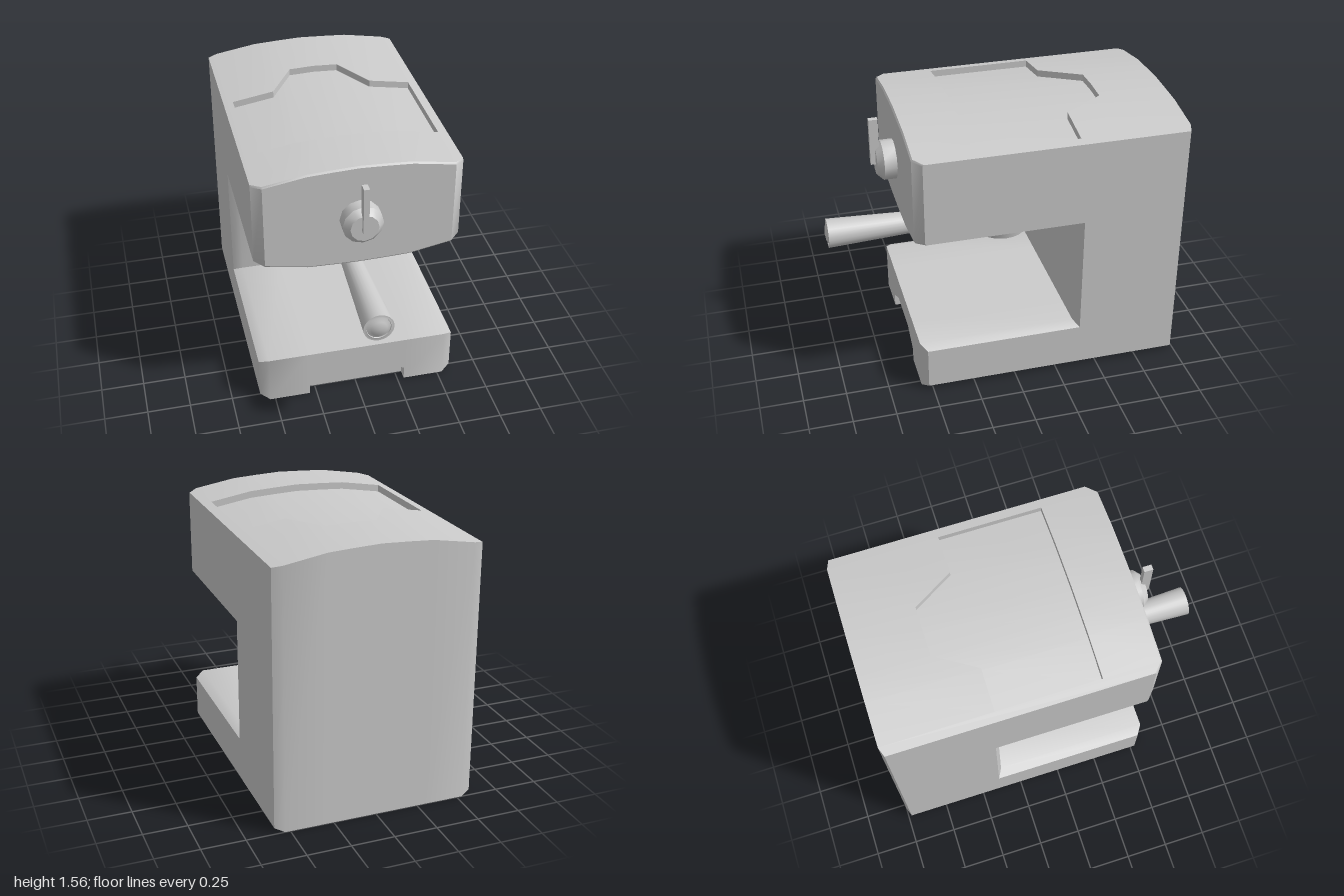
import * as THREE from 'three';
import { toCreasedNormals } from 'three/addons/utils/BufferGeometryUtils.js';

const W = 0.585, EDGE = 0.53;                       // half width, start of the side chamfer
const STATIONS = [0, 0.145, 0.29, EDGE, W];

// piecewise linear value at |x| over the stations
function at(values, x) {
  return values[STATIONS.indexOf(Math.abs(x))];
}
const topY = x => at([1.56, 1.554, 1.546, 1.506, 1.496], x);
const underY = x => at([0.935, 0.938, 0.943, 0.988, 1.0], x);
const recessBack = x => at([-0.6, -0.6, -0.365, -0.365, -0.365], x);
const notchY = x => at([0.155, 0.155, 0.08, 0, 0], x);
const RECESS_FRONT = 0.235, RECESS_DEPTH = 0.04, NOTCH_BACK = 0.5;

// C-shaped side profile [z, y] at a station, with optional notch and top recess
function profile(x, notch, recess) {
  const e = Math.abs(x) === W ? 1 : 0;
  const t = topY(x), u = underY(x), low = 0.025 * e, deck = 0.3 - 0.025 * e;
  const base = 0.56 - 0.035 * e, column = -0.36 - 0.03 * e;
  const head = 0.57 - 0.05 * e, back = -1 + 0.02 * e;
  const pts = notch
    ? [[NOTCH_BACK, 0], [NOTCH_BACK, notchY(x)], [base, notchY(x)]]
    : [[base, low]];
  pts.push([base, deck], [column, deck], [column, u],
    [head - 0.008, u], [head, u + 0.01], [head, t - 0.01], [head - 0.008, t]);
  if (recess) {
    const zb = recessBack(x), f = t - RECESS_DEPTH;
    pts.push([RECESS_FRONT, t], [RECESS_FRONT, f], [zb, f], [zb, t]);
  }
  pts.push([back, t], [back, low]);
  return pts;
}

function bodyGeometry() {
  const pos = [];
  const quad = (a, b, c, d) => pos.push(...a, ...b, ...c, ...a, ...c, ...d);

  // skin: strips between neighbouring stations
  const xs = [...STATIONS.slice(1).reverse().map(x => -x), ...STATIONS];
  for (let k = 0; k < xs.length - 1; k++) {
    const [x0, x1] = [xs[k], xs[k + 1]];
    const reach = Math.max(Math.abs(x0), Math.abs(x1));
    const p = profile(x0, reach <= 0.29, reach <= EDGE);
    const q = profile(x1, reach <= 0.29, reach <= EDGE);
    for (let i = 0; i < p.length; i++) {
      const j = (i + 1) % p.length;
      quad([x0, p[i][1], p[i][0]], [x1, q[i][1], q[i][0]],
        [x1, q[j][1], q[j][0]], [x0, p[j][1], p[j][0]]);
    }
  }

  // inward-facing end walls of the recess and the notch
  const wall = (x, z0, z1, y0, y1) => {
    const c = [[x, y0, z0], [x, y0, z1], [x, y1, z1], [x, y1, z0]];
    quad(...(x > 0 ? c : c.reverse()));
  };
  // flat C-shaped sides
  const contour = profile(W, false, false).map(([z, y]) => new THREE.Vector2(z, y));
  const faces = THREE.ShapeUtils.triangulateShape(contour, []);
  for (const s of [-1, 1]) {
    wall(s * EDGE, -0.365, RECESS_FRONT, topY(EDGE) - RECESS_DEPTH, topY(EDGE));
    wall(s * 0.29, NOTCH_BACK, 0.56, 0, notchY(0.29));
    for (const f of faces) {
      const [a, b, c] = f.map(i => contour[i]);
      const facesLeft = b.clone().sub(a).cross(c.clone().sub(a)) < 0;
      const tri = facesLeft === (s > 0) ? [a, b, c] : [a, c, b];
      for (const v of tri) pos.push(s * W, v.y, v.x);
    }
  }

  const g = new THREE.BufferGeometry();
  g.setAttribute('position', new THREE.Float32BufferAttribute(pos, 3));
  return toCreasedNormals(g, 0.6);
}

// turned part along +z, profile given as [radius, z]
function turned(points, sides, crease) {
  const g = new THREE.LatheGeometry(points.map(([r, z]) => new THREE.Vector2(r, z)), sides);
  g.rotateX(Math.PI / 2);
  return toCreasedNormals(g, crease);
}

export function createModel() {
  const group = new THREE.Group();
  const material = new THREE.MeshStandardMaterial({ color: 0xcccccc });
  const add = (name, geometry, x = 0, y = 0, z = 0) => {
    const mesh = new THREE.Mesh(geometry, material);
    mesh.name = name;
    mesh.position.set(x, y, z);
    group.add(mesh);
    return mesh;
  };

  add('body', bodyGeometry());

  // brewing cup under the head
  const cup = toCreasedNormals(new THREE.CylinderGeometry(0.217, 0.152, 0.27, 24), 0.6);
  add('filterCup', cup, 0, 0.813, -0.0625).scale.x = 0.945;

  // tapered handle with a domed end cap
  add('filterHandle', turned([[0.047, 0.05], [0.086, 0.985], [0.069, 0.985],
    [0.067, 0.98], [0.045, 0.993], [0, 1.0]], 24, 0.6), 0.004, 0.798, 0);

  // control knob and its lever
  add('knob', turned([[0.115, 0.56], [0.115, 0.642], [0.08, 0.678], [0, 0.678]], 12, 0.6), 0, 1.235, 0);
  add('knobLever', new THREE.BoxGeometry(0.032, 0.28, 0.052), 0, 1.36, 0.68);

  return group;
}
